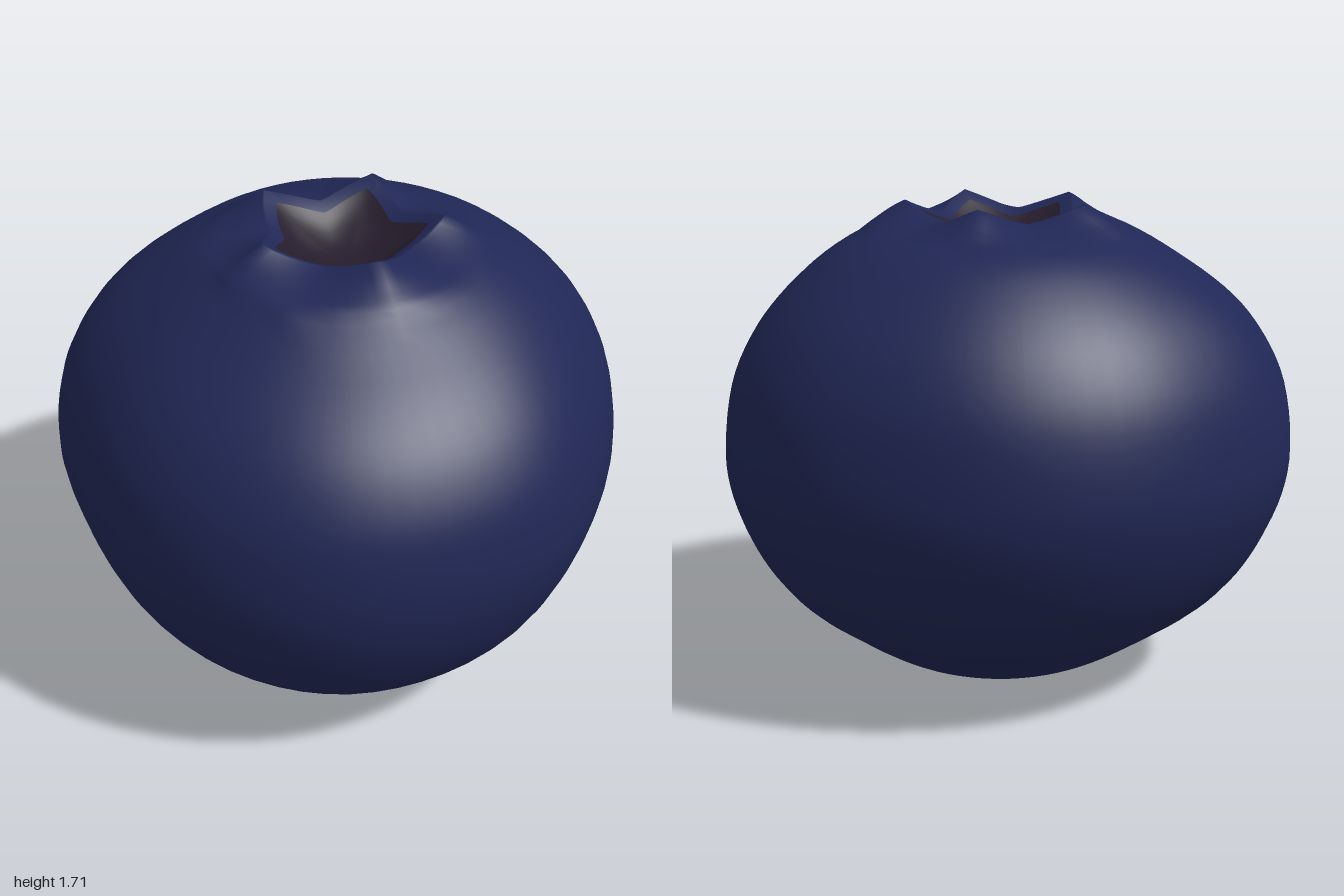
import * as THREE from 'three';
import { mergeVertices } from 'three/addons/utils/BufferGeometryUtils.js';

const { smoothstep, lerp, euclideanModulo, degToRad } = THREE.MathUtils;
const SIDES = 60;
const RIM = 0.24;

// Uneven outline of the berry seen from above: radius every 22.5 degrees, from +x towards +z
const outline = [1, 0.995, 0.965, 0.955, 0.99, 1.01, 1.03, 1.02, 1, 0.985, 1.03, 1.03, 0.995, 0.99, 0.98, 0.975];

function outlineRadius(angle) {
  const n = outline.length;
  const f = euclideanModulo(angle / (Math.PI * 2), 1) * n;
  const i = Math.floor(f), t = f - i;
  const [a, b, c, d] = [-1, 0, 1, 2].map((k) => outline[(i + k + n) % n]);
  return b + 0.5 * t * (c - a + t * (2 * a - 5 * b + 4 * c - d + t * (3 * (b - c) + d - a)));
}

// Five sharp lobes of the crown: 1 at a tip, 0 midway between tips
function lobe(angle) {
  const turn = euclideanModulo((angle - degToRad(42)) / degToRad(72), 1);
  return Math.pow(Math.abs(2 * turn - 1), 1.4);
}

// Pulls the crown out and up into its points, fading away on both sides of the rim
function crownRule(r, y, angle) {
  const weight = r < RIM ? smoothstep(r, 0.05, RIM) : Math.max(0, (0.5 - r) / (0.5 - RIM));
  const lift = weight * lobe(angle);
  return [r + 0.09 * lift, y + 0.06 * lift];
}

// Fleshy body: lumpy outline, slightly tilted shoulders, creased stem scar below
function bodyRule(r, y, angle) {
  if (y > 1 && r < 0.5) return crownRule(r, y, angle);
  const radius = r * lerp(1, outlineRadius(angle), smoothstep(r, 0.5, 0.85));
  const tilt = 0.05 * Math.cos(angle) - 0.04 * Math.sin(angle);
  let height = y + tilt * radius * Math.abs(y - 0.87) * smoothstep(r, 0.4, 0.65);
  if (y < 1) {
    height += 0.004 * (1 + Math.cos(5 * angle)) * smoothstep(r, 0, 0.06) * (1 - smoothstep(r, 0.1, 0.25));
  }
  return [radius, height];
}

// Turns a profile, then moves every vertex by rule(radius, y, angle) -> [radius, y]
function turned(points, rule) {
  const geo = new THREE.LatheGeometry(points, SIDES);
  const pos = geo.attributes.position;
  for (let i = 0; i < pos.count; i++) {
    const x = pos.getX(i), z = pos.getZ(i);
    const angle = Math.atan2(z, x);
    const [r, y] = rule(Math.hypot(x, z), pos.getY(i), angle);
    pos.setXYZ(i, r * Math.cos(angle), y, r * Math.sin(angle));
  }
  geo.deleteAttribute('uv');
  geo.deleteAttribute('normal');
  const welded = mergeVertices(geo, 1e-4);
  welded.computeVertexNormals();
  return welded;
}

function curve(pairs, count) {
  return new THREE.SplineCurve(pairs.map(([x, y]) => new THREE.Vector2(x, y))).getPoints(count);
}

export function createModel() {
  const group = new THREE.Group();
  group.name = 'blueberry';

  // Outer skin from the stem scar up to the rim, then folded just over it
  const skin = curve([
    [0, 0.02], [0.05, 0.012], [0.13, 0], [0.3, 0.04], [0.42, 0.085], [0.57, 0.165], [0.72, 0.272],
    [0.83, 0.39], [0.915, 0.53], [0.98, 0.7], [1, 0.87], [0.97, 1.08], [0.9, 1.24], [0.8, 1.37],
    [0.66, 1.49], [0.5, 1.59], [0.38, 1.625], [0.3, 1.64], [RIM, 1.645],
  ], 72);
  skin.push(new THREE.Vector2(0.2, 1.62));
  const body = new THREE.Mesh(
    turned(skin, bodyRule),
    new THREE.MeshStandardMaterial({ color: 0x202755 })
  );
  body.name = 'berryBody';

  // Dark dished hollow inside the crown
  const dish = curve([[0.2, 1.62], [0.15, 1.58], [0.08, 1.55], [0, 1.54]], 10);
  const hollow = new THREE.Mesh(
    turned(dish, crownRule),
    new THREE.MeshStandardMaterial({ color: 0x261d2d })
  );
  hollow.name = 'crownHollow';

  group.add(body, hollow);
  return group;
}
